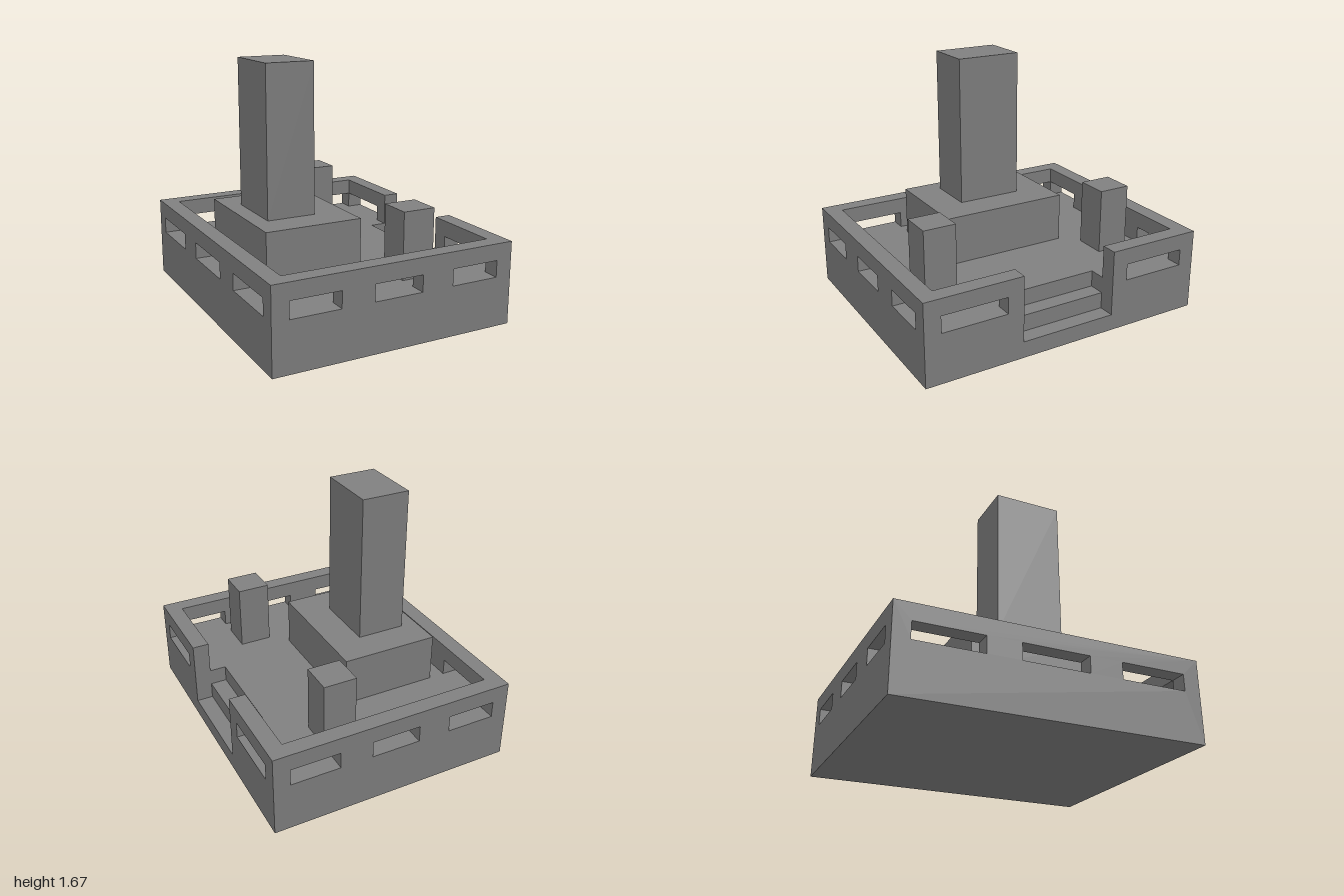
import * as THREE from 'three';

const UNIT = 1 / 9; // modelled on a whole-unit grid, then scaled

export function createModel() {
  const model = new THREE.Group();
  model.name = 'walledCourtyardTower';
  const stone = new THREE.MeshStandardMaterial({ color: 0x808080 });
  stone.name = 'grey stone';

  function add(name, geometry) {
    const mesh = new THREE.Mesh(geometry, stone);
    mesh.name = name;
    model.add(mesh);
  }

  function block(name, [x0, x1], [y0, y1], [z0, z1]) {
    const g = new THREE.BoxGeometry(x1 - x0, y1 - y0, z1 - z0);
    add(name, g.translate((x0 + x1) / 2, (y0 + y1) / 2, (z0 + z1) / 2));
  }

  const polygon = (points) => new THREE.Shape(points.map(([x, y]) => new THREE.Vector2(x, y)));

  // Wall of thickness 1 with window slots; its ends are mitred to meet the next wall
  function wall(name, half, distance, angle, windows, gate = []) {
    const shape = polygon([[-half, 0], [half, 0], [half, 5], ...gate, [-half, 5]]);
    for (const [a, b] of windows) {
      shape.holes.push(polygon([[a, 3], [a, 4], [b, 4], [b, 3]]));
    }
    const g = new THREE.ExtrudeGeometry(shape, { depth: 1, bevelEnabled: false });
    const p = g.attributes.position;
    for (let i = 0; i < p.count; i++) {
      const u = p.getX(i);
      if (p.getZ(i) < 0.5 && Math.abs(u) > half - 0.01) p.setX(i, u - Math.sign(u));
    }
    g.computeVertexNormals();
    add(name, g.translate(0, 0, distance - 1).rotateY(angle));
  }

  // Perimeter walls; the left one is cut down for the entrance
  const shortWindows = [[-6.5, -3.5], [-1.5, 1.5], [3.5, 6.5]];
  const longWindows = [[-8, -4], [-2, 2], [4, 8]];
  wall('frontWall', 7.5, 9, 0, shortWindows);
  wall('backWall', 7.5, 9, Math.PI, shortWindows);
  wall('rightWall', 9, 7.5, -Math.PI / 2, longWindows);
  wall('leftWall', 9, 7.5, Math.PI / 2, [longWindows[0], longWindows[2]],
    [[3, 5], [3, 1], [-3, 1], [-3, 5]]);

  // Courtyard floor, notched for the entrance step
  const floorPlan = polygon([[-6.5, -8], [6.5, -8], [6.5, -3], [5.5, -3],
    [5.5, 3], [6.5, 3], [6.5, 8], [-6.5, 8]]);
  const floor = new THREE.ExtrudeGeometry(floorPlan, { depth: 3, bevelEnabled: false });
  add('courtyardFloor', floor.rotateX(-Math.PI / 2));
  block('entranceStep', [5.5, 6.5], [0, 2], [-3, 3]);

  // Tower on its plinth
  block('towerPlinth', [-5.5, 0.5], [3, 6], [-4, 4]);
  block('tower', [-4.5, -1.5], [6, 15], [-2, 2]);

  // Pair of pillars beside the entrance
  for (const side of [-1, 1]) {
    block(side > 0 ? 'frontPillar' : 'backPillar', [1.5, 3.5], [3, 7], [side * 6 - 1, side * 6 + 1]);
  }

  model.scale.setScalar(UNIT);
  return model;
}
